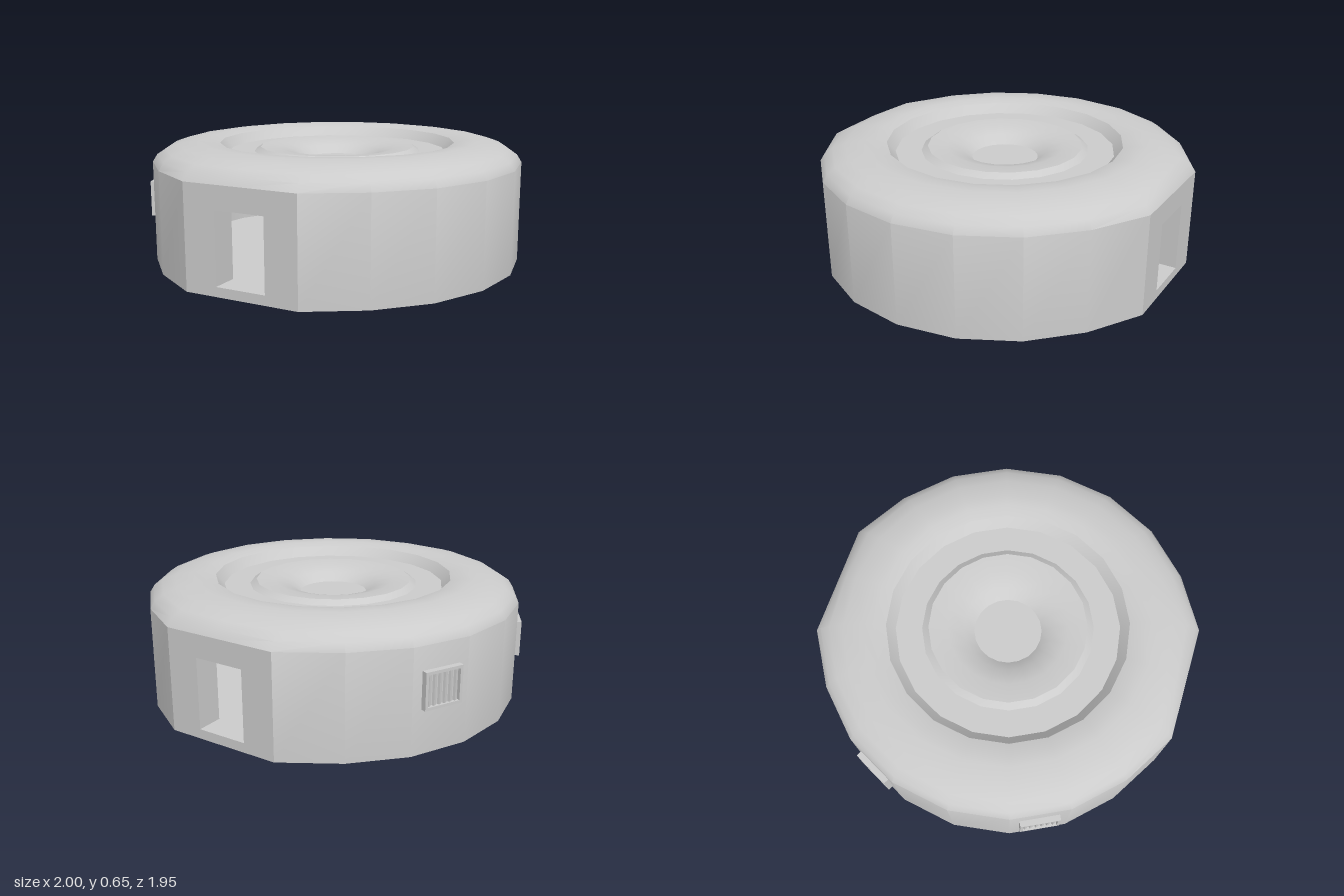
import * as THREE from 'three';
import { toCreasedNormals } from 'three/addons/utils/BufferGeometryUtils.js';

const SIDES = 20;
const FLAT_Z = 0.975;
const WALL_TOP = 0.54;
const DEPTH = 0.14;
const FLAT_COLUMNS = [4, 5, 14, 15];
const material = new THREE.MeshStandardMaterial({ color: 0xcccccc });

function add(parent, name, geometry, x = 0, y = 0, z = 0) {
  const mesh = new THREE.Mesh(geometry, material);
  mesh.name = name;
  mesh.position.set(x, y, z);
  parent.add(mesh);
  return mesh;
}

// Skin through 20-sided rings [radius, height, flatness of front and back];
// the band after ring `openBand` is left open on the flat sides.
function ringSkin(rings, openBand) {
  const positions = [];
  const index = [];
  for (const [r, y, flat = 0] of rings) {
    for (let i = 0; i < SIDES; i++) {
      const a = (i / SIDES) * Math.PI * 2;
      let z = r * Math.sin(a);
      if (Math.abs(Math.sin(a)) > 0.95) {
        z += flat * (Math.sign(z) * r * FLAT_Z - z);
      }
      positions.push(r * Math.cos(a), y, z);
    }
  }
  for (let j = 0; j < rings.length - 1; j++) {
    for (let i = 0; i < SIDES; i++) {
      if (j === openBand && FLAT_COLUMNS.includes(i)) continue;
      const a = j * SIDES + i;
      const b = j * SIDES + ((i + 1) % SIDES);
      if (rings[j + 1][0] > 0) index.push(b, a + SIDES, b + SIDES);
      if (rings[j][0] > 0) index.push(a, a + SIDES, b);
    }
  }
  const geometry = new THREE.BufferGeometry();
  geometry.setAttribute('position', new THREE.Float32BufferAttribute(positions, 3));
  geometry.setIndex(index);
  return toCreasedNormals(geometry, 0.59);
}

// Flat plate with a rectangular opening, rectangles given as [x0, y0, x1, y1]
function plateWithOpening(outer, hole, depth) {
  const trace = (path, [x0, y0, x1, y1]) =>
    path.moveTo(x0, y0).lineTo(x1, y0).lineTo(x1, y1).lineTo(x0, y1).closePath();
  const shape = new THREE.Shape();
  trace(shape, outer);
  const opening = new THREE.Path();
  trace(opening, hole);
  shape.holes.push(opening);
  return new THREE.ExtrudeGeometry(shape, { depth, bevelEnabled: false });
}

// Wall vent: back plate, frame and upright slats, facing +z
function createVent(name) {
  const vent = new THREE.Group();
  vent.name = name;
  add(vent, 'ventBack', new THREE.BoxGeometry(0.2, 0.18, 0.02));
  add(vent, 'ventFrame', plateWithOpening([-0.105, -0.095, 0.105, 0.095], [-0.09, -0.08, 0.09, 0.08], 0.03));
  for (let i = 0; i < 6; i++) {
    const slat = add(vent, 'ventSlat', new THREE.BoxGeometry(0.018, 0.16, 0.012), -0.075 + i * 0.03, 0, 0.014);
    slat.rotation.y = 0.4;
  }
  return vent;
}

// Cabinet block with raised frames on front and back
function addCabinet(parent, name, x, y, w, h) {
  const block = add(parent, name, new THREE.BoxGeometry(w, h, 0.16), x, y, 0);
  const frame = plateWithOpening(
    [-w / 2, -h / 2, w / 2, h / 2],
    [-w / 2 + 0.015, -h / 2 + 0.025, w / 2 - 0.015, h / 2 - 0.02], 0.02);
  add(block, 'cabinetFrame', frame, 0, 0, 0.08);
  add(block, 'cabinetFrame', frame, 0, 0, -0.1);
}

export function createModel() {
  const model = new THREE.Group();
  model.name = 'roundBuilding';

  // Base, outer wall, rounded roof, recessed ring and central dish
  add(model, 'outerShell', ringSkin([
    [0, 0], [1, 0, 1], [1, WALL_TOP, 1], [0.975, 0.58, 0.9], [0.93, 0.61, 0.6],
    [0.86, 0.635, 0.2], [0.76, 0.65], [0.7, 0.65], [0.64, 0.635],
    [0.595, 0.584], [0.455, 0.584], [0.42, 0.608], [0.32, 0.6],
    [0.235, 0.576], [0.18, 0.535], [0, 0.535],
  ], 1));

  // Inner room: ceiling, wall and floor
  const inner = (FLAT_Z - DEPTH) / FLAT_Z;
  add(model, 'innerRoom', ringSkin([
    [0, 0.48], [inner, 0.48, 1], [inner, 0.05, 1], [0, 0.05],
  ], 1));

  // Front and back walls with doorways
  const half = Math.cos(Math.PI * 0.4);
  const doorWall = plateWithOpening([-half, 0, half, WALL_TOP], [-0.135, 0.05, 0.135, 0.42], DEPTH);
  add(model, 'frontDoorWall', doorWall, 0, 0, FLAT_Z - DEPTH);
  add(model, 'backDoorWall', doorWall, 0, 0, -FLAT_Z);

  // Vents on one side of the building
  for (const side of [1, -1]) {
    const vent = createVent(side > 0 ? 'frontVent' : 'backVent');
    const angle = Math.PI * 0.15;
    const r = Math.cos(Math.PI / SIDES);
    vent.position.set(-r * Math.cos(angle), 0.325, side * r * Math.sin(angle));
    vent.rotation.y = Math.atan2(-Math.cos(angle), side * Math.sin(angle));
    model.add(vent);
  }

  // Cabinets and shelf in the middle of the room
  const cabinets = new THREE.Group();
  cabinets.name = 'cabinets';
  addCabinet(cabinets, 'lowerCabinet', -0.07, 0.18, 0.135, 0.13);
  addCabinet(cabinets, 'lowerCabinet', 0.07, 0.18, 0.135, 0.13);
  addCabinet(cabinets, 'upperCabinet', 0.07, 0.34, 0.135, 0.15);
  add(cabinets, 'cabinetPlinth', new THREE.BoxGeometry(0.28, 0.07, 0.2), 0, 0.083, 0);
  add(cabinets, 'shelf', new THREE.BoxGeometry(0.28, 0.02, 0.22), 0, 0.255, 0);
  model.add(cabinets);

  return model;
}
